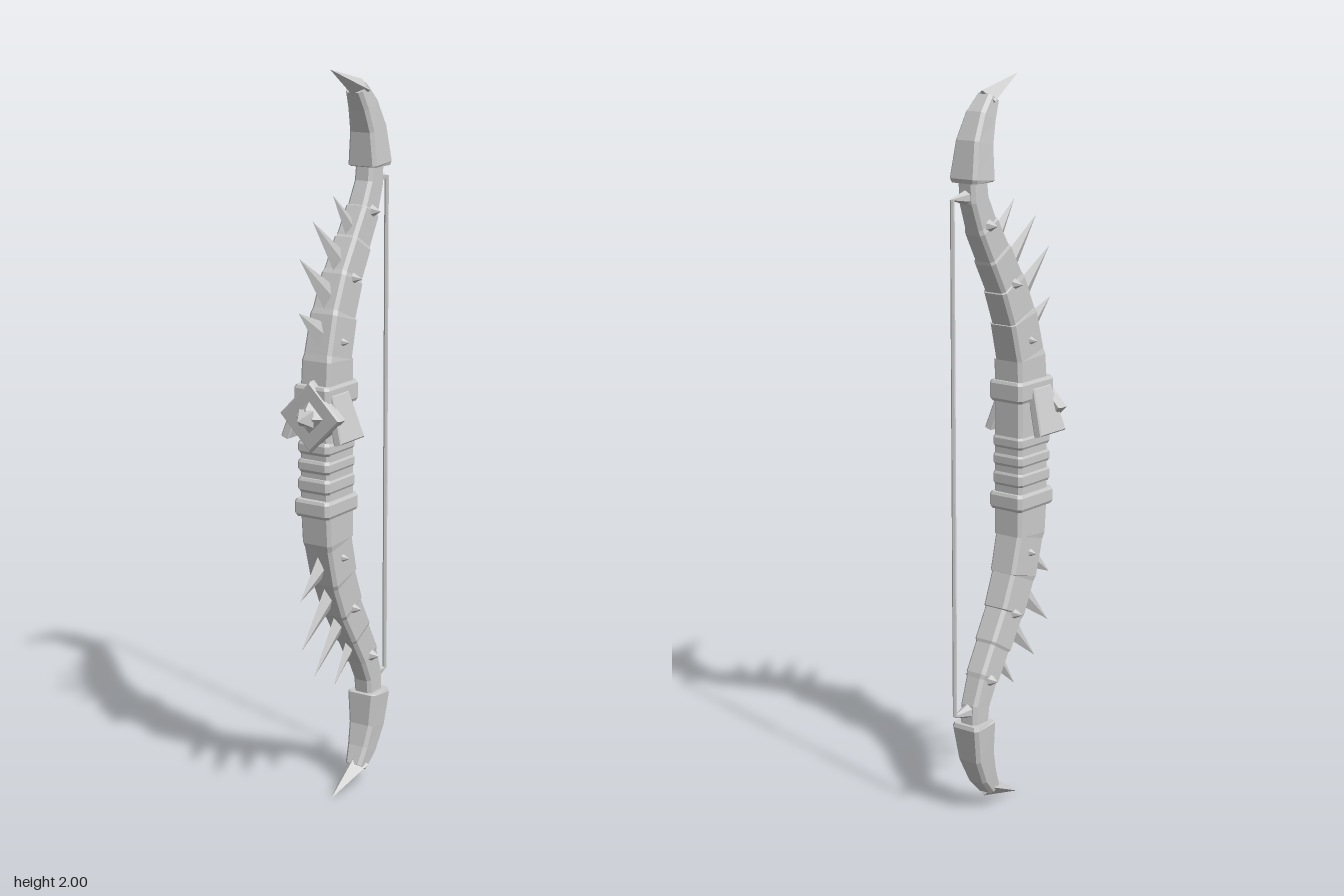
import * as THREE from 'three';

const mat = new THREE.MeshStandardMaterial({ color: 0xcccccc, flatShading: true, side: THREE.DoubleSide });
const V = (x, y, z) => new THREE.Vector3(x, y, z);

function add(parent, name, geometry) {
  const mesh = new THREE.Mesh(geometry, mat);
  mesh.name = name;
  parent.add(mesh);
  return mesh;
}

// Chamfered box section swept along rising stations [y, z, depth, halfWidth]
function loft(stations, chamfer = 0.009) {
  const rings = stations.map(([y, z, depth, w], i) => {
    const a = stations[Math.max(i - 1, 0)], b = stations[Math.min(i + 1, stations.length - 1)];
    const len = Math.hypot(b[0] - a[0], b[1] - a[1]);
    const ty = (b[0] - a[0]) / len, tz = (b[1] - a[1]) / len;
    const d = depth / 2, c = chamfer;
    return [[-w + c, d], [w - c, d], [w, d - c], [w, c - d], [w - c, -d], [c - w, -d], [-w, c - d], [-w, d - c]]
      .map(([x, n]) => V(x, y - tz * n, z + ty * n));
  });
  const pos = [];
  const tri = (...pts) => pts.forEach((p) => pos.push(p.x, p.y, p.z));
  for (let r = 0; r < rings.length - 1; r++) {
    for (let i = 0; i < 8; i++) {
      const j = (i + 1) % 8, a = rings[r], b = rings[r + 1];
      tri(a[i], a[j], b[j]);
      tri(a[i], b[j], b[i]);
    }
  }
  const bottom = rings[0], top = rings[rings.length - 1];
  for (let i = 1; i < 7; i++) {
    tri(bottom[0], bottom[i + 1], bottom[i]);
    tri(top[0], top[i], top[i + 1]);
  }
  const g = new THREE.BufferGeometry();
  g.setAttribute('position', new THREE.Float32BufferAttribute(pos, 3));
  g.computeVertexNormals();
  return g;
}

// Pointed spike from base to tip; rx is the half width across x, rn across the other way
function spike(parent, name, base, tip, rx, rn, sides = 4) {
  const dir = tip.clone().sub(base), len = dir.length();
  dir.normalize();
  const side = Math.abs(dir.x) > 0.9 ? V(0, 0, 1) : V(1, 0, 0);
  const g = new THREE.ConeGeometry(1, 1, sides).translate(0, 0.5, 0).scale(rx, len, rn);
  g.applyMatrix4(new THREE.Matrix4().makeBasis(side, dir, side.clone().cross(dir)).setPosition(base));
  return add(parent, name, g);
}

const flip = (list) => list.map(([y, ...rest]) => [2 - y, ...rest]).reverse();

export function createModel() {
  const bow = new THREE.Group();
  bow.name = 'bow';

  // Curved limbs: overlapping segments, each stepping in from the last
  const curve = [
    [1.16, 0.08, 0.125, 0.047], [1.25, 0.075, 0.118, 0.045], [1.36, 0.046, 0.11, 0.041],
    [1.455, 0.005, 0.1, 0.037], [1.54, -0.045, 0.09, 0.034], [1.62, -0.092, 0.08, 0.031],
    [1.69, -0.122, 0.07, 0.028], [1.76, -0.128, 0.065, 0.027],
  ];
  const stepped = [];
  curve.forEach(([y, z, d, w], i) => {
    if (i > 0 && i < 6) {
      const [py, pz] = curve[i - 1], [ny, nz] = curve[i + 1];
      const k = 0.004 / Math.hypot(ny - py, nz - pz);
      const dy = (ny - py) * k, dz = (nz - pz) * k;
      stepped.push([y - dy, z - dz, d + 0.003, w + 0.0015], [y + dy, z + dz, d - 0.003, w - 0.0015]);
    } else stepped.push([y, z, d, w]);
  });
  add(bow, 'limbs', loft([...flip(stepped), ...stepped]));

  // Grip bands: [bottom, top, depth, halfWidth]
  for (const [y0, y1, d, w] of [
    [0.83, 0.877, 0.155, 0.055], [0.895, 0.935, 0.138, 0.05], [0.95, 0.985, 0.138, 0.05],
    [1.0, 1.035, 0.138, 0.05], [1.13, 1.187, 0.155, 0.055],
  ]) {
    const c = 0.008;
    add(bow, 'gripBand', loft([
      [y0, 0.083, d - c, w - c / 2], [y0 + c, 0.083, d, w], [y1 - c, 0.083, d, w], [y1, 0.083, d - c, w - c / 2],
    ]));
  }

  // Diamond plate with its raised boss and spike
  const r = 0.089;
  const diamond = new THREE.Shape([[0, -r], [r, 0], [0, r], [-r, 0]].map(([x, y]) => new THREE.Vector2(x, y)));
  add(bow, 'frontPlate', new THREE.ExtrudeGeometry(diamond, {
    depth: 0.022, bevelEnabled: true, bevelThickness: 0.006, bevelSize: 0.005, bevelSegments: 1,
  }).translate(0, 1.105, 0.136));
  add(bow, 'plateBoss', new THREE.CylinderGeometry(0.024, 0.044, 0.018, 4).rotateX(Math.PI / 2).translate(0, 1.105, 0.172));
  add(bow, 'plateSpike', new THREE.ConeGeometry(0.032, 0.042, 4).rotateY(Math.PI / 4).rotateX(Math.PI / 2)
    .translate(0, 1.105, 0.197));

  // Flared guards on both sides of the grip
  const guardShape = new THREE.Shape([[-0.036, 0.062], [-0.053, -0.062], [0.053, -0.062], [0.036, 0.062]]
    .map(([x, y]) => new THREE.Vector2(x, y)));
  for (const s of [-1, 1]) {
    const guard = add(bow, s > 0 ? 'leftGuard' : 'rightGuard', new THREE.ExtrudeGeometry(guardShape, {
      depth: 0.018, bevelEnabled: true, bevelThickness: 0.004, bevelSize: 0.003, bevelSegments: 1,
    }).translate(0, 0, -0.009).rotateY(Math.PI / 2));
    guard.position.set(s * 0.065, 1.1, 0.1);
    guard.rotation.z = s * 0.3;
  }

  // Horn caps, claws, thorns, studs and string pegs, mirrored top and bottom
  const cap = [
    [1.735, -0.128, 0.083, 0.042], [1.742, -0.128, 0.09, 0.045], [1.835, -0.118, 0.077, 0.038],
    [1.9, -0.092, 0.064, 0.032], [1.945, -0.062, 0.046, 0.026],
  ];
  const thorns = [
    [1.315, 0.105, 1.39, 0.21, 0.036], [1.41, 0.07, 1.53, 0.205, 0.036],
    [1.495, 0.02, 1.62, 0.145, 0.034], [1.575, -0.035, 1.675, 0.05, 0.028],
  ];
  const studs = [[1.295, 0.068, 0.064], [1.455, 0.006, 0.063], [1.62, -0.094, 0.056]];
  for (const s of [1, -1]) {
    const end = new THREE.Group();
    end.name = s > 0 ? 'upperLimbDetails' : 'lowerLimbDetails';
    bow.add(end);
    const Y = (y) => 1 + s * (y - 1);
    add(end, 'hornCap', loft(s > 0 ? cap : flip(cap)));
    spike(end, 'claw', V(0, Y(1.938), -0.075), V(0, Y(2), 0.063), 0.034, 0.03);
    for (const [by, bz, ty, tz, rn] of thorns) {
      spike(end, 'thorn', V(0, Y(by), bz), V(0, Y(ty), tz), 0.015, rn);
    }
    for (const [y, z, x] of studs) {
      for (const side of [-1, 1]) {
        spike(end, 'stud', V(side * 0.022, Y(y), z), V(side * x, Y(y), z), 0.022, 0.022, 6);
      }
    }
    spike(end, 'stringPeg', V(0, Y(1.698), -0.14), V(0, Y(1.698), -0.222), 0.024, 0.024, 6);
  }

  // String
  add(bow, 'string', new THREE.CylinderGeometry(0.006, 0.006, 1.396, 6).translate(0, 1, -0.21));
  return bow;
}
